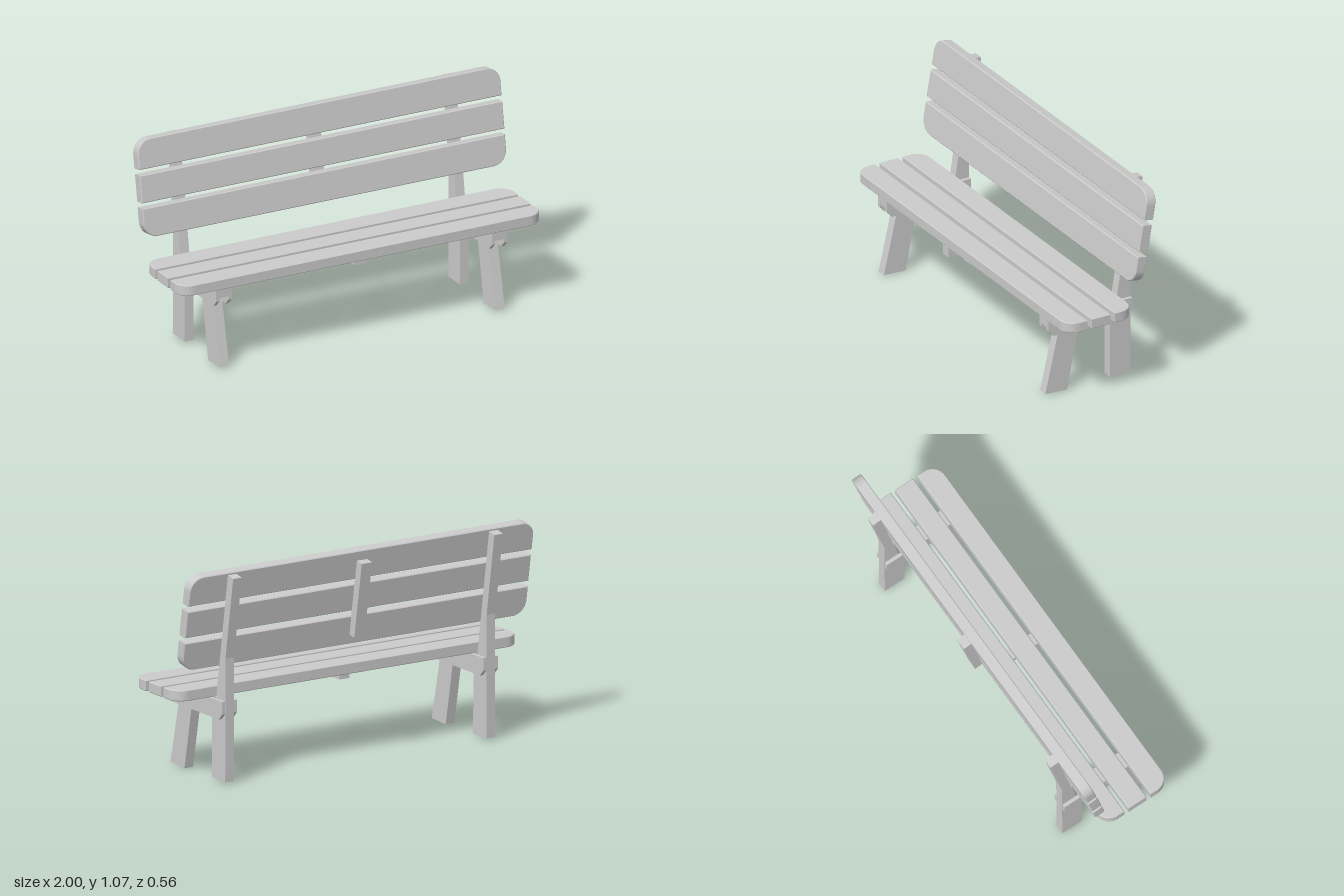
import * as THREE from 'three';
import { toCreasedNormals } from 'three/addons/utils/BufferGeometryUtils.js';

const material = new THREE.MeshStandardMaterial({ color: 0xcccccc });
const SLAT_LENGTH = 2, SLAT_THICKNESS = 0.055, BEVEL = 0.004;
const BACK_TILT = -0.17;

function addMesh(parent, name, geometry, x = 0, y = 0, z = 0, tilt = 0) {
  const mesh = new THREE.Mesh(geometry, material);
  mesh.name = name;
  mesh.position.set(x, y, z);
  mesh.rotation.x = tilt;
  parent.add(mesh);
  return mesh;
}

// Long plank with softened edges; top / bottom are the corner radii of its two long sides
function slatGeometry(width, top, bottom) {
  const x = SLAT_LENGTH / 2 - BEVEL, y = width / 2 - BEVEL;
  const s = new THREE.Shape();
  s.moveTo(-x + bottom, -y);
  s.lineTo(x - bottom, -y);
  if (bottom) s.absarc(x - bottom, -y + bottom, bottom, -Math.PI / 2, 0);
  s.lineTo(x, y - top);
  if (top) s.absarc(x - top, y - top, top, 0, Math.PI / 2);
  s.lineTo(-x + top, y);
  if (top) s.absarc(-x + top, y - top, top, Math.PI / 2, Math.PI);
  s.lineTo(-x, -y + bottom);
  if (bottom) s.absarc(-x + bottom, -y + bottom, bottom, Math.PI, Math.PI * 1.5);
  const depth = SLAT_THICKNESS - 2 * BEVEL;
  const g = new THREE.ExtrudeGeometry(s, {
    depth, curveSegments: 8,
    bevelEnabled: true, bevelSegments: 1, bevelSize: BEVEL, bevelThickness: BEVEL,
  });
  g.translate(0, 0, -depth / 2);
  return toCreasedNormals(g, 0.5);
}

// Side profile given as [z, y] points, extruded along x and centred
function sideProfile(points, thickness) {
  const s = new THREE.Shape(points.map(([z, y]) => new THREE.Vector2(z, y)));
  const g = new THREE.ExtrudeGeometry(s, { depth: thickness, bevelEnabled: false });
  g.translate(0, 0, -thickness / 2);
  g.rotateY(-Math.PI / 2);
  return g;
}

export function createModel() {
  const bench = new THREE.Group();
  bench.name = 'bench';

  // Seat planks: name, z, width, rear radius, front radius
  const seat = [
    ['seatSlatFront', 0.223, 0.114, 0, 0.07],
    ['seatSlatMiddle', 0.088, 0.106, 0, 0],
    ['seatSlatRear', -0.046, 0.114, 0.07, 0],
  ];
  for (const [name, z, width, rear, front] of seat) {
    addMesh(bench, name, slatGeometry(width, rear, front), 0, 0.4425, z, -Math.PI / 2);
  }

  // Backrest planks: name, y, z, width, top radius, bottom radius
  const back = [
    ['backSlatTop', 0.997, -0.193, 0.148, 0.07, 0],
    ['backSlatMiddle', 0.828, -0.163, 0.139, 0, 0],
    ['backSlatBottom', 0.659, -0.135, 0.148, 0, 0.07],
  ];
  for (const [name, y, z, width, top, bottom] of back) {
    addMesh(bench, name, slatGeometry(width, top, bottom), 0, y, z, BACK_TILT);
  }

  // End frames: splayed front leg, rear leg running up into the back post, paired rails
  const frontLeg = sideProfile([[0.275, 0.006], [0.192, 0.37], [0.08, 0.37], [0.152, 0]], 0.05);
  const backPost = sideProfile([
    [-0.09, 0.008], [-0.207, 0.008], [-0.209, 0.63], [-0.277, 1.045],
    [-0.23, 1.054], [-0.127, 0.414], [-0.092, 0.32],
  ], 0.05);
  const cheek = sideProfile([
    [0.268, 0.414], [0.268, 0.351], [0.238, 0.32],
    [-0.177, 0.32], [-0.207, 0.351], [-0.207, 0.414],
  ], 0.018);
  const filler = new THREE.BoxGeometry(0.05, 0.045, 0.375);

  for (const [side, sign] of [['left', 1], ['right', -1]]) {
    const frame = new THREE.Group();
    frame.name = side + 'EndFrame';
    frame.position.x = sign * 0.76;
    addMesh(frame, 'frontLeg', frontLeg);
    addMesh(frame, 'backPost', backPost);
    addMesh(frame, 'railOuter', cheek, sign * 0.034);
    addMesh(frame, 'railInner', cheek, -sign * 0.034);
    addMesh(frame, 'railFiller', filler, 0, 0.3915, 0.0805);
    bench.add(frame);
  }

  // Centre battens joining the planks
  addMesh(bench, 'seatBatten', new THREE.BoxGeometry(0.06, 0.03, 0.32), 0, 0.4, 0.09);
  addMesh(bench, 'backBatten', new THREE.BoxGeometry(0.06, 0.39, 0.045), 0, 0.82, -0.212, BACK_TILT);

  return bench;
}
